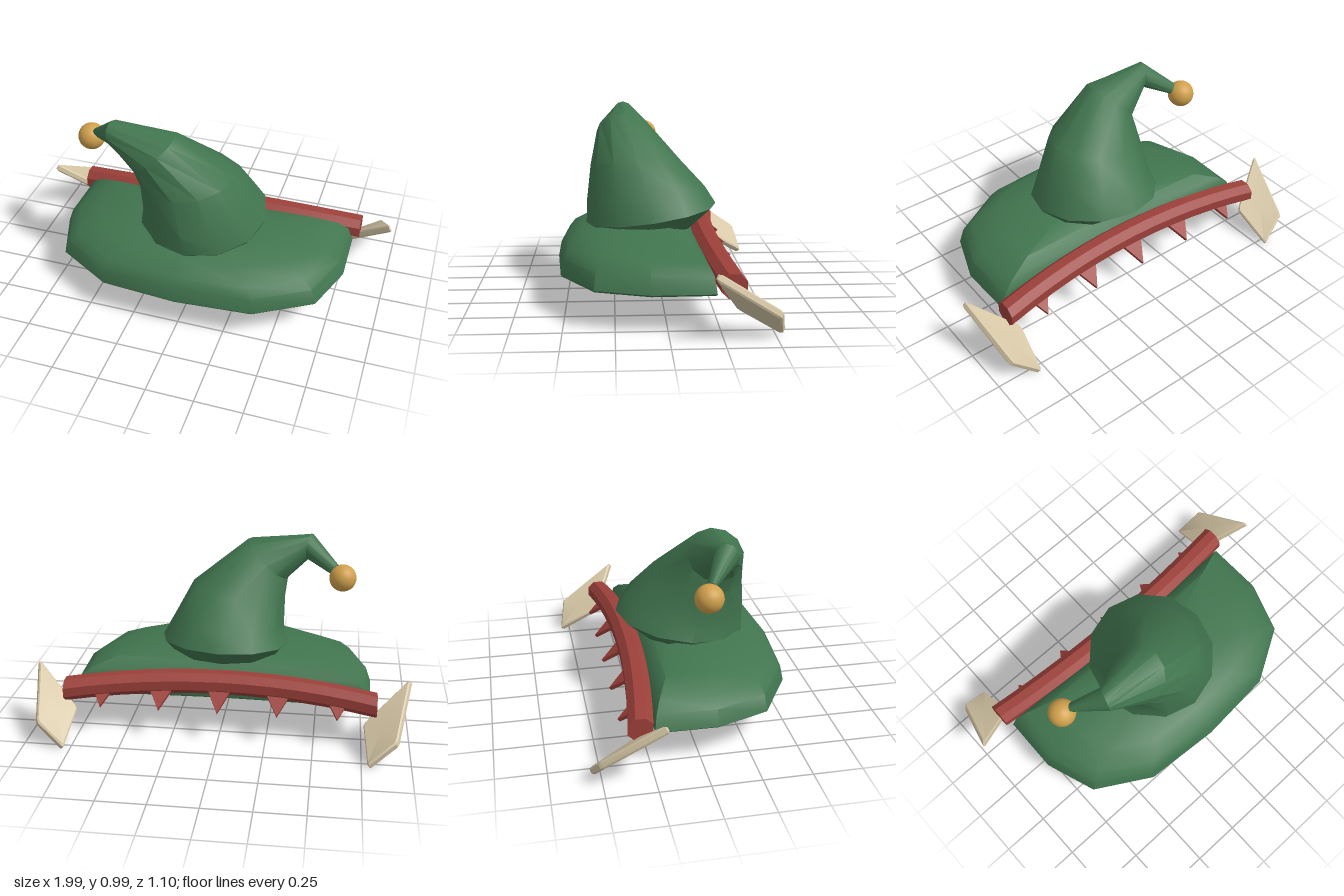
import * as THREE from 'three';
import { toCreasedNormals } from 'three/addons/utils/BufferGeometryUtils.js';

const V = (x, y, z) => new THREE.Vector3(x, y, z);
const mat = (name, color) => {
  const m = new THREE.MeshStandardMaterial({ color });
  m.name = name;
  return m;
};

// Closed skin through rings of points, capped at both ends
function loft(rings, crease) {
  const n = rings[0].length, pos = [], idx = [];
  const mid = ring => ring.reduce((s, p) => s.add(p), V(0, 0, 0)).divideScalar(n);
  rings.forEach(r => r.forEach(p => pos.push(p.x, p.y, p.z)));
  pos.push(...mid(rings[0]).toArray(), ...mid(rings[rings.length - 1]).toArray());
  const start = rings.length * n, end = start + 1, last = start - n;
  for (let j = 0; j < n; j++) {
    const k = (j + 1) % n;
    for (let i = 0; i < rings.length - 1; i++) {
      const a = i * n + j, b = i * n + k;
      idx.push(a, a + n, b + n, a, b + n, b);
    }
    idx.push(start, j, k, end, last + k, last + j);
  }
  const g = new THREE.BufferGeometry();
  g.setAttribute('position', new THREE.Float32BufferAttribute(pos, 3));
  g.setIndex(idx);
  g.computeVertexNormals();
  return toCreasedNormals(g, crease);
}

// Ellipse ring from a centre and two half axes
function ellipse(c, u, v, sides, turn = 0) {
  return Array.from({ length: sides }, (_, j) => {
    const a = (j / sides) * Math.PI * 2 + turn;
    return c.clone().addScaledVector(u, Math.cos(a)).addScaledVector(v, Math.sin(a));
  });
}

export function createModel() {
  const group = new THREE.Group();
  const green = mat('green', 0x41754f);
  const red = mat('red', 0x9c403a);
  const cream = mat('cream', 0xd6c7a6);
  const gold = mat('gold', 0xd0a04c);
  const add = (name, geo, material) => {
    const m = new THREE.Mesh(geo, material);
    m.name = name;
    group.add(m);
    return m;
  };

  // Wide domed brim, flat underneath and cut off at the back
  const half = [[0.79, -0.23], [0.795, 0.08], [0.7, 0.35], [0.41, 0.52]];
  const outline = [[0, -0.21], ...half, [0, 0.55], ...half.map(([x, z]) => [-x, z]).reverse()];
  const levels = [[0.19, 0.985], [0.2, 1], [0.28, 0.965], [0.325, 0.89], [0.375, 0.72], [0.41, 0.42], [0.42, 0.1]];
  add('brim', loft(levels.map(([y, s]) =>
    outline.map(([x, z]) => V(x * s, y, 0.1 + (z - 0.1) * s))), 0.6), green);

  // Tilted cone that bends over to one side: centre, right axis, front axis
  const sections = [
    [V(0, 0.375, 0.1), V(0.31, 0, 0), V(0, 0, 0.28)],
    [V(0.005, 0.435, 0.047), V(0.345, 0.01, 0), V(0, -0.05, 0.35)],
    [V(-0.015, 0.535, 0.075), V(0.295, 0.035, 0), V(0, -0.04, 0.32)],
    [V(-0.06, 0.7, 0.128), V(0.25, 0.035, 0), V(0, -0.01, 0.245)],
    [V(-0.21, 0.855, 0.19), V(0.11, 0.105, 0), V(0, 0, 0.15)],
    [V(-0.435, 0.93, 0.19), V(-0.005, 0.07, 0), V(-0.02, 0, 0.06)],
    [V(-0.57, 0.84, 0.085), V(-0.015, 0.025, 0), V(-0.015, 0, 0.02)],
  ];
  add('cone', loft(sections.map(([c, u, v]) => ellipse(c, u, v, 12)), 0.55), green);

  // Bell on the tip
  add('bell', new THREE.SphereGeometry(0.072, 24, 16), gold).position.set(-0.617, 0.8, 0.065);

  // Bowed bar behind the brim
  const bow = x => {
    const t = (x / 0.82) ** 2;
    return V(x, 0.3 - 0.055 * t, -0.242 - 0.063 * t);
  };
  const bar = [];
  for (let i = 0; i <= 12; i++) {
    bar.push(ellipse(bow(-0.82 + (i / 12) * 1.64), V(0, 0, 0.067), V(0, 0.064, 0), 8, Math.PI / 8));
  }
  add('bar', loft(bar, 0.5), red);

  // Thin triangular teeth pointing down and back
  const triangle = new THREE.Shape([[-0.085, 0], [0, -0.155], [0.085, 0]]
    .map(([x, y]) => new THREE.Vector2(x, y)));
  for (const x of [-0.62, -0.31, 0, 0.31, 0.62]) {
    const geo = new THREE.ExtrudeGeometry(triangle, { depth: 0.02, bevelEnabled: false });
    geo.translate(0, 0, -0.01);
    const root = bow(x), s = Math.abs(x) > 0.5 ? 0.8 : 1;
    const tooth = add('tooth', geo, red);
    tooth.position.copy(root);
    tooth.scale.x = s;
    const dy = root.y - 0.185, dz = root.z + 0.383;
    tooth.scale.y = Math.hypot(dy, dz) / 0.155;
    tooth.rotation.x = Math.atan2(dz, dy);
  }

  // Slanted plates with softened rims at both ends of the bar
  for (const side of [-1, 1]) {
    const corners = [[0.993, 0.347, -0.2], [0.762, 0.138, -0.33], [0.787, 0.017, -0.545], [0.925, 0.138, -0.513]]
      .map(([x, y, z]) => V(side * x, y, z));
    const [a, b, , d] = corners;
    const n = b.clone().sub(a).cross(d.clone().sub(a)).normalize();
    const c = corners.reduce((s, p) => s.add(p), V(0, 0, 0)).divideScalar(4);
    // Each corner becomes two points so the outline is slightly chamfered
    const rim = corners.flatMap((p, i) =>
      [corners[(i + 3) % 4], corners[(i + 1) % 4]].map(q => p.clone().lerp(q, 0.04)));
    const rings = [[0.02, 0.94], [0.012, 1.01], [-0.012, 1.01], [-0.02, 0.94]].map(([h, s]) =>
      rim.map(p => c.clone().lerp(p, s).addScaledVector(n, h)));
    add(side > 0 ? 'leftPlate' : 'rightPlate', loft(rings, 0.5), cream);
  }
  return group;
}
